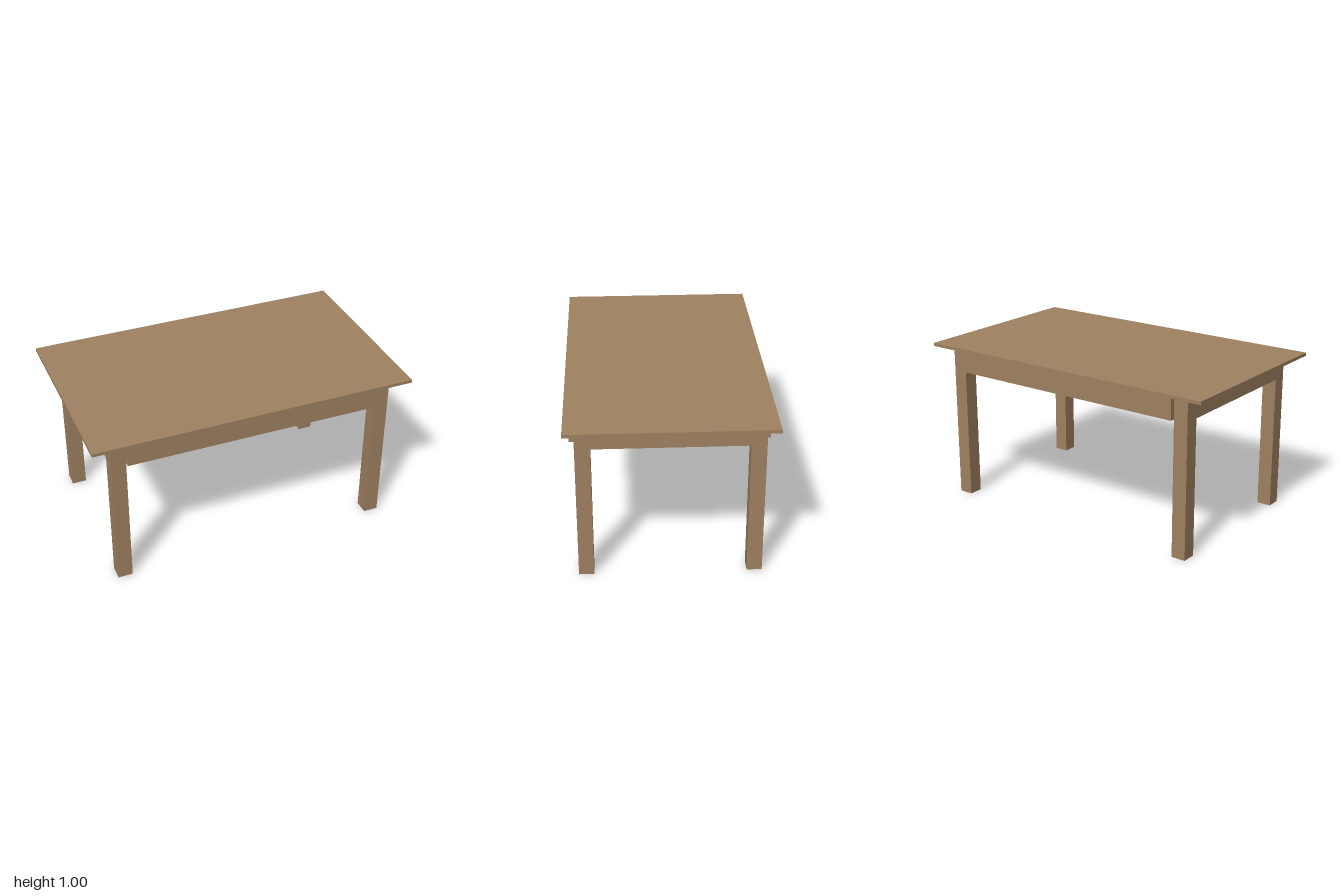
import * as THREE from 'three';

export function createModel() {
  const group = new THREE.Group();
  const wood = new THREE.MeshStandardMaterial({ color: 0xa08262 });
  wood.name = 'brown wood';

  // Box given by its minimum and maximum corners
  function box(name, [x0, y0, z0], [x1, y1, z1]) {
    const mesh = new THREE.Mesh(new THREE.BoxGeometry(x1 - x0, y1 - y0, z1 - z0), wood);
    mesh.position.set((x0 + x1) / 2, (y0 + y1) / 2, (z0 + z1) / 2);
    mesh.name = name;
    group.add(mesh);
    return mesh;
  }

  box('tableTop', [-1, 0.98, -0.6], [1, 1, 0.6]);

  for (const s of [1, -1]) {
    // Long apron, standing slightly proud of the legs
    const long = box(s > 0 ? 'frontApron' : 'backApron', [-0.79, 0.84, 0.48], [0.79, 0.97, 0.57]);
    long.position.z *= s;

    // Short apron, flush with the outer faces of the legs
    const short = box(s > 0 ? 'leftApron' : 'rightApron', [0.85, 0.84, -0.45], [0.88, 0.97, 0.45]);
    short.position.x *= s;

    // Legs on this side
    for (const t of [1, -1]) {
      const leg = box((t > 0 ? 'front' : 'back') + (s > 0 ? 'Left' : 'Right') + 'Leg',
        [0.79, 0, 0.45], [0.88, 0.96, 0.54]);
      leg.position.x *= s;
      leg.position.z *= t;
    }
  }
  return group;
}
